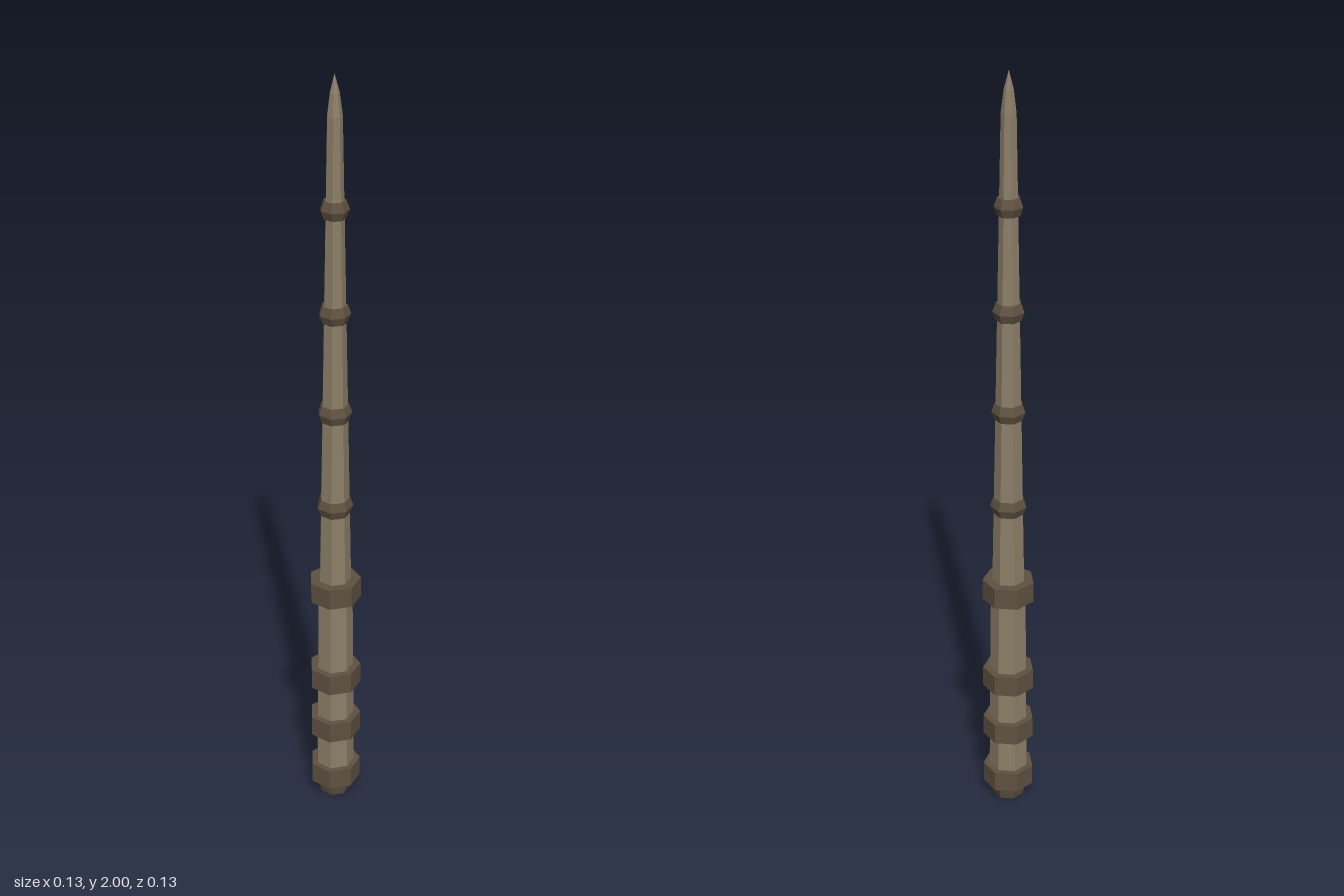
import * as THREE from 'three';

const SIDES = 7;

// Seven-sided faceted lathe; one corner points along +x
function turned(name, profile, material) {
  const points = profile.map(([r, y]) => new THREE.Vector2(r, y));
  const geometry = new THREE.LatheGeometry(points, SIDES, Math.PI / 2);
  const mesh = new THREE.Mesh(geometry, material);
  mesh.name = name;
  return mesh;
}

export function createModel() {
  const group = new THREE.Group();
  group.name = 'taperedRod';
  const wood = new THREE.MeshStandardMaterial({ color: 0x8c7f68, flatShading: true });
  const darkWood = new THREE.MeshStandardMaterial({ color: 0x5e5140, flatShading: true });

  // Handle, tapering shaft and pointed tip
  group.add(turned('pommel', [[0, 0], [0.04, 0], [0.052, 0.045], [0, 0.045]], darkWood));
  group.add(turned('handle', [[0, 0.04], [0.052, 0.04], [0.046, 0.64], [0, 0.64]], wood));
  group.add(turned('shaft', [[0.043, 0.62], [0.019, 1.9]], wood));
  group.add(turned('tip', [[0.019, 1.9], [0.012, 1.955], [0, 2]], wood));

  // Square-edged collars around the handle
  for (const y of [0.07, 0.223, 0.375, 0.64]) {
    const h = 0.028;
    const collar = turned('collar', [[0, -h], [0.0675, -h], [0.0675, h], [0, h]], darkWood);
    collar.position.y = y;
    group.add(collar);
  }

  // Ridged rings along the shaft, shrinking upwards
  for (const [y, r] of [[0.883, 0.047], [1.145, 0.0435], [1.41, 0.04], [1.675, 0.036]]) {
    const inner = r - 0.016;
    const ring = turned('shaftRing',
      [[inner, -0.022], [r - 0.008, -0.022], [r, 0], [r - 0.008, 0.022], [inner, 0.022]], darkWood);
    ring.position.y = y;
    group.add(ring);
  }

  // Balance the odd-sided outline about x = 0
  for (const part of group.children) part.position.x = -0.0033;
  return group;
}
